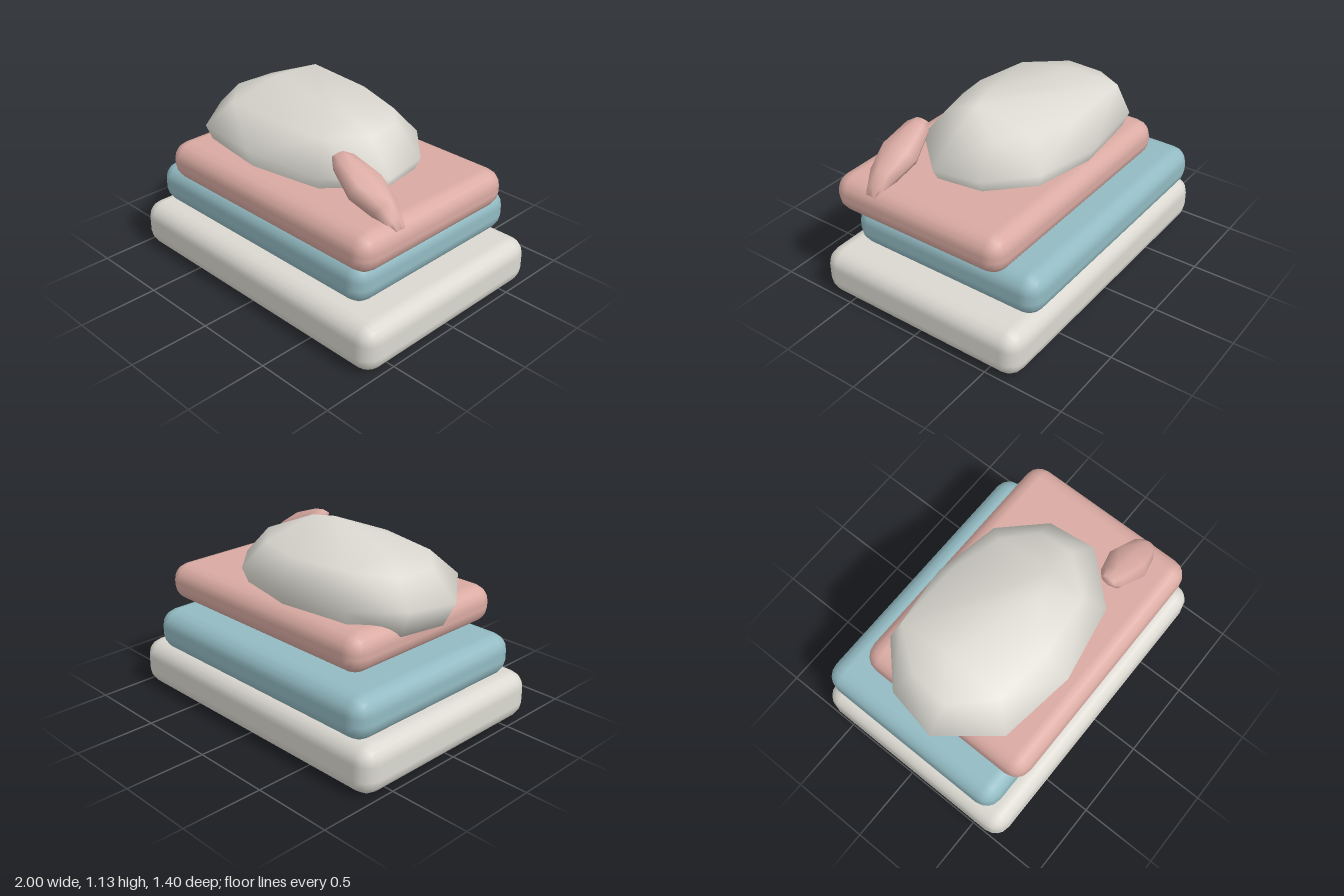
import * as THREE from 'three';
import { RoundedBoxGeometry } from 'three/addons/geometries/RoundedBoxGeometry.js';
import { ConvexGeometry } from 'three/addons/geometries/ConvexGeometry.js';
import { mergeVertices } from 'three/addons/utils/BufferGeometryUtils.js';

const paint = (color) => new THREE.MeshStandardMaterial({ color });
const cream = paint(0xdad8d0), blue = paint(0x92bac2), pink = paint(0xd9aaa2);

function part(name, geometry, material) {
  const mesh = new THREE.Mesh(geometry, material);
  mesh.name = name;
  return mesh;
}

// Rounded slab given by its extents on each axis
function cushion(name, material, [x0, x1], [y0, y1], [z0, z1]) {
  const mesh = part(name, new RoundedBoxGeometry(x1 - x0, y1 - y0, z1 - z0, 2, 0.105), material);
  mesh.position.set((x0 + x1) / 2, (y0 + y1) / 2, (z0 + z1) / 2);
  return mesh;
}

// Smooth-shaded skin stretched around cross-section points
function softHull(points) {
  const geometry = new ConvexGeometry(points);
  geometry.deleteAttribute('normal');
  const merged = mergeVertices(geometry, 1e-4);
  merged.computeVertexNormals();
  return merged;
}

// Large crumpled bundle: widest rim, tucked-in base, shoulder ring and crown
function bundleGeometry() {
  const rim = [
    [-0.87, 0.86, 0.12], [-0.81, 0.88, -0.2], [-0.57, 0.88, -0.43], [-0.08, 0.87, -0.48], [0.33, 0.88, -0.4],
    [0.57, 0.87, -0.16], [0.61, 0.86, 0.14], [0.34, 0.87, 0.43], [-0.14, 0.9, 0.52], [-0.61, 0.88, 0.45],
  ];
  const shoulder = [
    [-0.71, 1.02, 0.1], [-0.68, 1.03, -0.15], [-0.51, 1.075, -0.37], [-0.08, 1.05, -0.37], [0.24, 1.04, -0.28],
    [0.41, 1.05, -0.12], [0.43, 1.04, 0.1], [0.25, 1.04, 0.31], [-0.12, 1.05, 0.36], [-0.5, 1.03, 0.32],
  ];
  const crown = [[0.1, 1.135, 0.14], [0.25, 1.12, 0.1], [-0.15, 1.115, 0.05], [-0.5, 1.1, -0.05]];
  const base = rim.map(([x, , z]) => [-0.12 + (x + 0.12) * 0.9, 0.71, 0.02 + (z - 0.02) * 0.88]);
  return softHull([...rim, ...shoulder, ...crown, ...base].map((p) => new THREE.Vector3(...p)));
}

// Small drooping lump: elliptical sections along a sloping axis
function lumpGeometry() {
  const sections = [ // x, y, half thickness, half width
    [0.425, 1.025, 0.02, 0.045], [0.47, 0.995, 0.06, 0.08], [0.63, 0.905, 0.09, 0.125],
    [0.78, 0.83, 0.07, 0.088], [0.85, 0.78, 0.037, 0.055], [0.885, 0.748, 0.015, 0.038],
  ];
  const points = [];
  for (const [x, y, thick, wide] of sections) {
    for (let i = 0; i < 8; i++) {
      const a = (i / 8) * Math.PI * 2;
      const t = Math.sin(a) * thick;
      points.push(new THREE.Vector3(x + t * 0.53, y + t * 0.85, 0.36 + Math.cos(a) * wide));
    }
  }
  return softHull(points);
}

export function createModel() {
  const group = new THREE.Group();
  group.name = 'cushionStack';
  group.add(
    cushion('bottomCushion', cream, [-1, 1], [0, 0.3], [-0.7, 0.7]),
    cushion('middleCushion', blue, [-0.94, 0.82], [0.3, 0.56], [-0.7, 0.59]),
    cushion('topCushion', pink, [-0.74, 0.91], [0.557, 0.793], [-0.53, 0.65]),
    part('bundle', bundleGeometry(), cream),
    part('smallLump', lumpGeometry(), pink),
  );
  return group;
}
